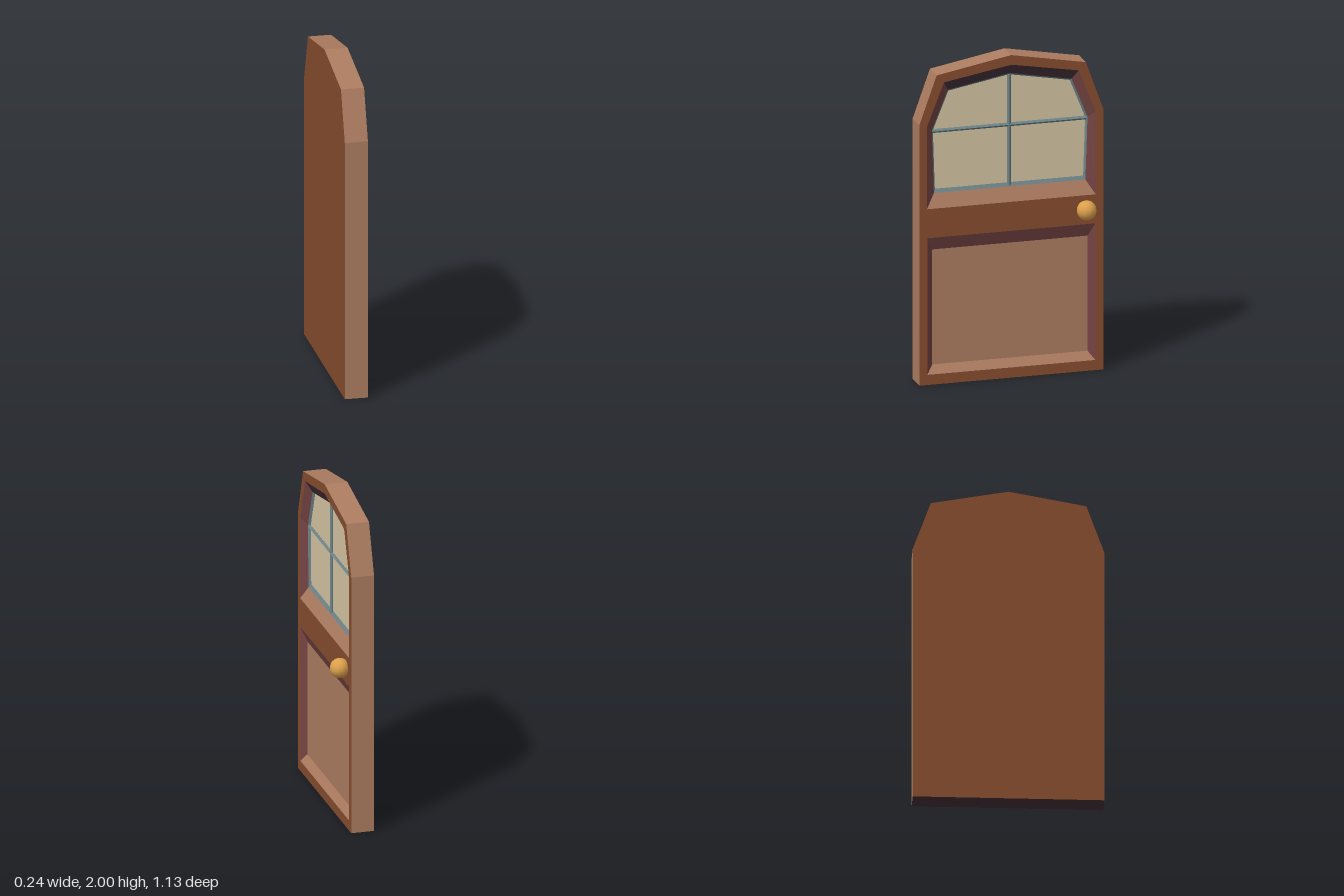
import * as THREE from 'three';

const mat = (name, color) => {
  const m = new THREE.MeshStandardMaterial({ color });
  m.name = name;
  return m;
};

// Mirrors the right half of an outline (bottom to top, apex last if x = 0); counter-clockwise from bottom left
function outline(half) {
  const left = half.filter(([x]) => x > 0).map(([x, y]) => [-x, y]).reverse();
  const loop = [...half, ...left];
  loop.unshift(loop.pop());
  return loop.map(([x, y]) => new THREE.Vector2(x, y));
}

// Strip of flat quads between two matching loops; one material index per edge
function band(a, za, b, zb, edgeMaterials) {
  const pos = [];
  const geo = new THREE.BufferGeometry();
  a.forEach((p, i) => {
    const j = (i + 1) % a.length;
    const A = [p.x, p.y, za], B = [a[j].x, a[j].y, za];
    const C = [b[j].x, b[j].y, zb], D = [b[i].x, b[i].y, zb];
    pos.push(...A, ...B, ...C, ...A, ...C, ...D);
    geo.addGroup(i * 6, 6, edgeMaterials[i]);
  });
  geo.setAttribute('position', new THREE.Float32BufferAttribute(pos, 3));
  geo.computeVertexNormals();
  return geo;
}

export function createModel() {
  const frame = mat('frame brown', 0x864c2e);
  const wood = mat('light wood', 0xac7c60);
  const red = mat('red brown bevel', 0x744443);
  const dark = mat('dark underside', 0x443038);
  const metal = mat('grey teal lead', 0x6b8286);
  metal.flatShading = true;
  const glass = mat('cream glass', 0xd4c4a3);
  const brass = mat('brass', 0xdca04c);
  const woods = [wood, red, dark];

  const model = new THREE.Group();
  model.name = 'door';
  // The door is built facing +z, then turned to face +x
  const door = new THREE.Group();
  door.name = 'doorLeaf';
  door.rotation.y = Math.PI / 2;
  model.add(door);
  const add = (name, geo, material, x = 0, y = 0, z = 0) => {
    const m = new THREE.Mesh(geo, material);
    m.name = name;
    m.position.set(x, y, z);
    door.add(m);
    return m;
  };

  const front = 0.02, back = -0.12, panelZ = -0.012, trimZ = -0.016, glassZ = -0.03;
  const outer = outline([[0.567, 0], [0.567, 1.615], [0.46, 1.915], [0, 2]]);
  const windowOuter = outline([[0.52, 1.09], [0.52, 1.6], [0.415, 1.868], [0, 1.94]]);
  const windowInner = outline([[0.467, 1.175], [0.48, 1.565], [0.382, 1.808], [0, 1.878]]);
  const glassLoop = outline([[0.457, 1.197], [0.469, 1.562], [0.374, 1.798], [0, 1.866]]);
  const panelOuter = outline([[0.518, 0.063], [0.518, 0.91]]);
  const panelInner = outline([[0.478, 0.115], [0.478, 0.828]]);

  // Slab: front with two openings, back and edges
  const face = new THREE.Shape(outer);
  face.holes.push(new THREE.Path(windowOuter), new THREE.Path(panelOuter));
  add('frontFrame', new THREE.ShapeGeometry(face), frame, 0, 0, front);
  add('backFace', new THREE.ShapeGeometry(new THREE.Shape(outer)), frame, 0, 0, back).rotation.y = Math.PI;
  add('slabEdges', band(outer, back, outer, front, [2, 0, 0, 0, 0, 0, 0]), woods);

  // Lower recessed panel
  add('panelBevel', band(panelOuter, front, panelInner, panelZ, [0, 1, 1, 1]), woods);
  add('lowerPanel', new THREE.ShapeGeometry(new THREE.Shape(panelInner)), wood, 0, 0, panelZ);

  // Window: wooden bevel, lead trim, glass
  add('windowBevel', band(windowOuter, front, windowInner, trimZ, [0, 1, 1, 2, 2, 1, 1]), woods);
  add('windowTrim', band(windowInner, trimZ, glassLoop, glassZ, [0, 0, 0, 0, 0, 0, 0]), [metal]);
  add('windowGlass', new THREE.ShapeGeometry(new THREE.Shape(glassLoop)), glass, 0, 0, glassZ);

  // Glazing bars with a diamond section
  const bar = (length) => new THREE.CylinderGeometry(0.012, 0.012, length, 4);
  add('verticalBar', bar(0.69), metal, 0, 1.525, glassZ + 0.004);
  add('horizontalBar', bar(0.95), metal, 0, 1.557, glassZ + 0.004).rotation.z = Math.PI / 2;

  // Knob
  add('knob', new THREE.SphereGeometry(0.06, 12, 10), brass, 0.453, 1.008, 0.058);

  return model;
}
